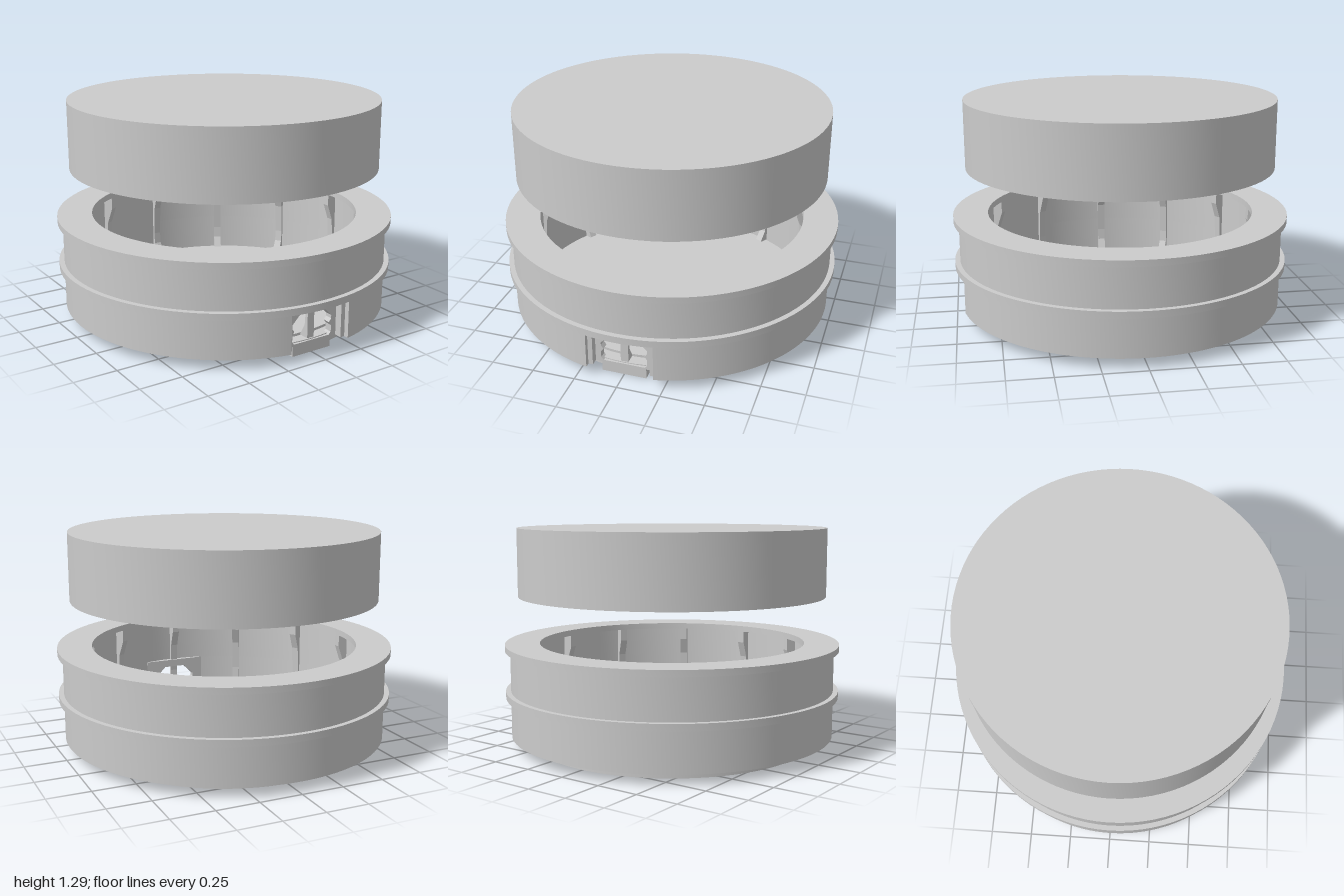
import * as THREE from 'three';
import { toCreasedNormals } from 'three/addons/utils/BufferGeometryUtils.js';

const material = new THREE.MeshStandardMaterial({ color: 0xcccccc });
const SEGMENTS = 96;

function addMesh(parent, name, geometry) {
  const mesh = new THREE.Mesh(geometry, material);
  mesh.name = name;
  parent.add(mesh);
  return mesh;
}

// Turned part from [radius, height] pairs, listed counter-clockwise
function turned(profile) {
  const points = profile.map(([r, y]) => new THREE.Vector2(r, y));
  return toCreasedNormals(new THREE.LatheGeometry(points, SEGMENTS), 0.5);
}

// Square-section ring
function ring(inner, outer, bottom, top) {
  return turned([[inner, bottom], [outer, bottom], [outer, top], [inner, top], [inner, bottom]]);
}

function polygon(points) {
  return new THREE.Shape(points.map(([x, y]) => new THREE.Vector2(x, y)));
}

// Twelve radial ribs sharing one [radius, height] outline
function addRibs(parent, name, outline, width) {
  const geometry = new THREE.ExtrudeGeometry(polygon(outline), { depth: width, bevelEnabled: false });
  geometry.translate(0, 0, -width / 2);
  for (let i = 0; i < 12; i++) {
    addMesh(parent, name, geometry).rotation.y = (i * Math.PI) / 6;
  }
}

// Lower wall with a gap for the front notch
function notchedWall(inner, outer, bottom, top, halfGap) {
  const a = Math.asin(halfGap / outer);
  const b = Math.asin(halfGap / inner);
  const shape = new THREE.Shape();
  shape.absarc(0, 0, outer, -Math.PI / 2 + a, 1.5 * Math.PI - a, false);
  shape.absarc(0, 0, inner, 1.5 * Math.PI - b, -Math.PI / 2 + b, true);
  const geometry = new THREE.ExtrudeGeometry(shape, {
    depth: top - bottom, bevelEnabled: false, curveSegments: SEGMENTS,
  });
  geometry.rotateX(-Math.PI / 2);
  geometry.translate(0, bottom, 0);
  return toCreasedNormals(geometry, 0.5);
}

function createBase() {
  const base = new THREE.Group();
  base.name = 'base';

  // Foot disc and floor, with the foot's front tab
  addMesh(base, 'foot', turned([[0, 0], [0.835, 0], [0.835, 0.07], [0, 0.07]]));
  addMesh(base, 'floor', turned([[0, 0.06], [0.865, 0.06], [0.865, 0.075], [0.8, 0.075], [0.8, 0.09], [0, 0.09]]));
  const tab = addMesh(base, 'footTab', new THREE.BoxGeometry(0.26, 0.06, 0.175));
  tab.position.set(0, 0.03, 0.7875);

  // Walls and the two flanges
  addMesh(base, 'lowerWall', notchedWall(0.86, 0.97, 0.06, 0.3, 0.195));
  addMesh(base, 'upperBody', turned([
    [0.86, 0.295], [1, 0.295], [1, 0.335], [0.97, 0.335], [0.97, 0.575],
    [1, 0.575], [1, 0.612], [0.795, 0.612], [0.795, 0.575], [0.86, 0.575], [0.86, 0.295],
  ]));

  // Window plate at the back of the notch
  const plate = polygon([[-0.2, 0.06], [0.2, 0.06], [0.2, 0.297], [-0.2, 0.297]]);
  plate.holes.push(polygon([
    [-0.12, 0.07], [-0.135, 0.085], [-0.135, 0.125], [-0.12, 0.145], [-0.135, 0.165], [-0.135, 0.185],
    [-0.07, 0.25], [0.07, 0.25], [0.135, 0.185], [0.135, 0.165], [0.12, 0.145],
    [0.135, 0.125], [0.135, 0.085], [0.12, 0.07],
  ]));
  const plateGeometry = new THREE.ExtrudeGeometry(plate, { depth: 0.045, bevelEnabled: false });
  addMesh(base, 'windowPlate', plateGeometry).position.z = 0.83;

  // Stepped jambs on both sides of the notch
  for (const side of [-1, 1]) {
    const jamb = addMesh(base, 'notchJamb', new THREE.BoxGeometry(0.03, 0.237, 0.05));
    jamb.position.set(side * 0.183, 0.1785, 0.895);
  }

  // Inner ribs, hooked at top and bottom
  addRibs(base, 'baseRib', [
    [0.8, 0.08], [0.84, 0.15], [0.845, 0.22], [0.835, 0.4], [0.8, 0.5], [0.8, 0.58],
    [0.88, 0.58], [0.88, 0.32], [0.865, 0.29], [0.865, 0.08],
  ], 0.045);
  return base;
}

function createLid() {
  const lid = new THREE.Group();
  lid.name = 'lid';

  // Hollow cap, open below
  addMesh(lid, 'cap', turned([
    [0, 1.18], [0.84, 1.18], [0.84, 0.893], [0.917, 0.893], [0.917, 1.295], [0, 1.295],
  ]));

  // Rings hanging from the ceiling
  addMesh(lid, 'innerRing', ring(0.13, 0.17, 1.11, 1.19));
  addMesh(lid, 'outerRing', ring(0.31, 0.345, 1.13, 1.19));

  // Sloping ribs from the rim to the ceiling
  addRibs(lid, 'lidRib', [
    [0.86, 0.9], [0.79, 0.886], [0.77, 0.886], [0.7, 0.95], [0.58, 1.04], [0.45, 1.11], [0.43, 1.19], [0.86, 1.19],
  ].reverse(), 0.045);
  return lid;
}

export function createModel() {
  const model = new THREE.Group();
  model.name = 'roundContainer';
  model.add(createBase(), createLid());
  return model;
}
